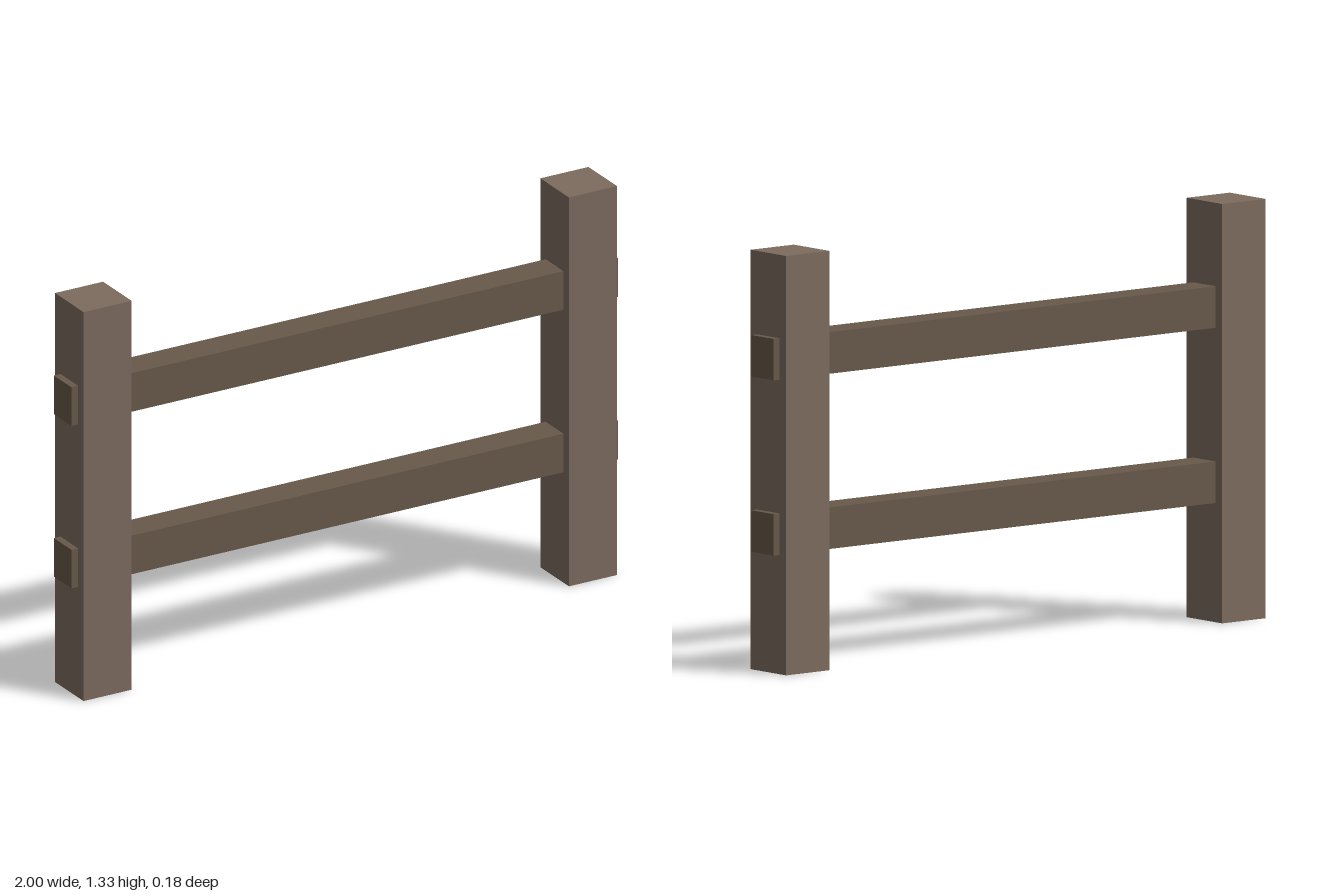
import * as THREE from 'three';

export function createModel() {
  const fence = new THREE.Group();
  fence.name = 'fence';

  const postWood = new THREE.MeshStandardMaterial({ color: 0x7d6c5f });
  const railWood = new THREE.MeshStandardMaterial({ color: 0x685a4a });

  const addBeam = (name, size, position, material) => {
    const mesh = new THREE.Mesh(new THREE.BoxGeometry(...size), material);
    mesh.name = name;
    mesh.position.set(...position);
    fence.add(mesh);
  };

  // Square upright posts
  const postHeight = 1.333;
  for (const [name, side] of [['leftPost', 1], ['rightPost', -1]]) {
    addBeam(name, [0.176, postHeight, 0.176], [side * 0.888, postHeight / 2, 0], postWood);
  }

  // Rails running through the posts, ends poking out
  for (const [name, y] of [['lowerRail', 0.445], ['upperRail', 1.002]]) {
    addBeam(name, [2, 0.132, 0.11], [0, y, 0], railWood);
  }

  return fence;
}
